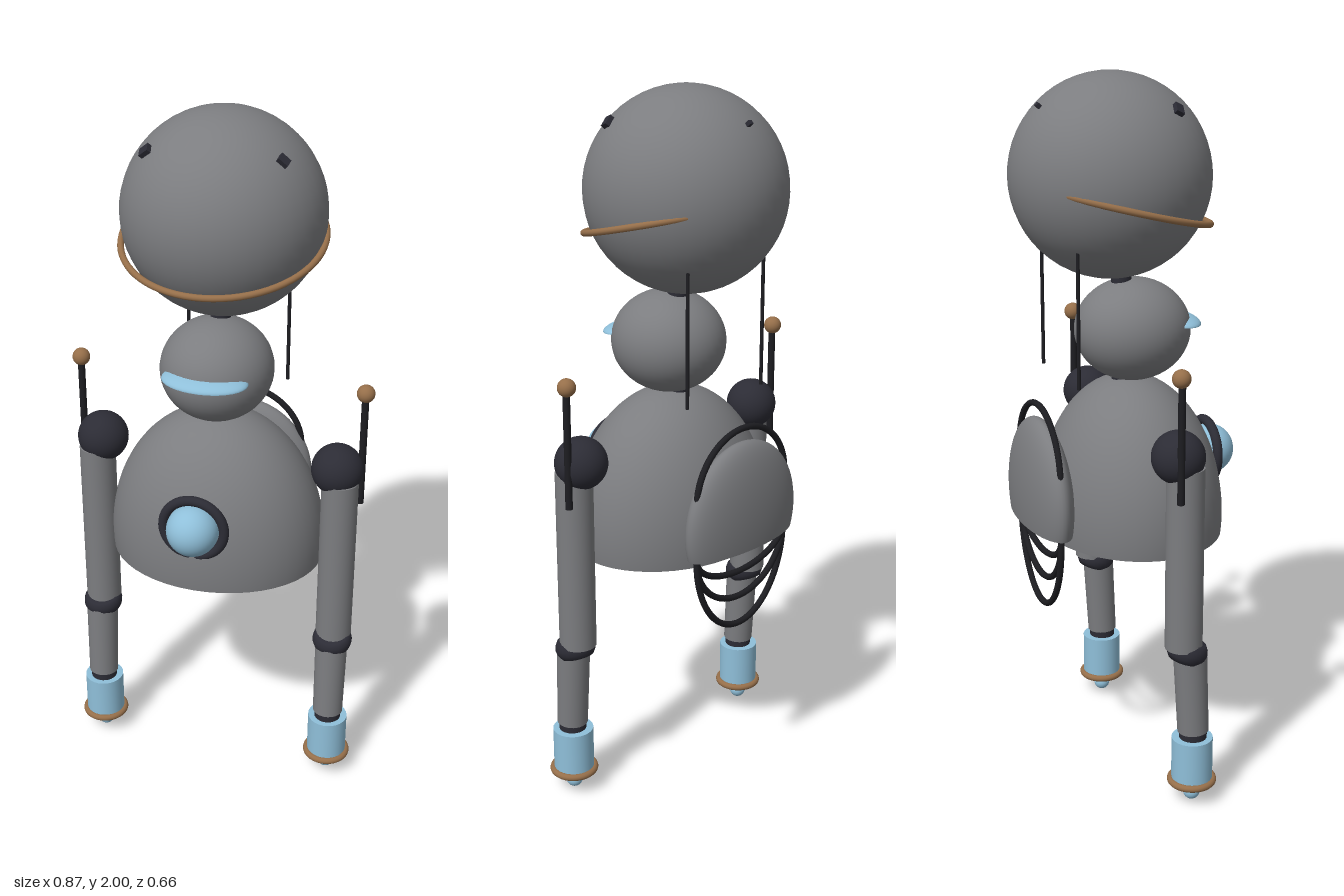
import * as THREE from 'three';

const mat = (name, color, side = THREE.FrontSide) => {
  const m = new THREE.MeshStandardMaterial({ color, side });
  m.name = name;
  return m;
};

export function createModel() {
  const root = new THREE.Group();
  root.name = 'robot';
  const grey = mat('grey shell', 0x7c7d80);
  const dark = mat('dark joint', 0x2c2c35);
  const black = mat('black cable', 0x1d1d21);
  const blue = mat('light blue', 0x8fbfd9);
  const copper = mat('copper', 0x966f4a);

  const add = (name, geo, material, [x, y, z], parent = root) => {
    const mesh = new THREE.Mesh(geo, material);
    mesh.name = name;
    mesh.position.set(x, y, z);
    parent.add(mesh);
    return mesh;
  };
  const ball = (rx, ry = rx, rz = rx) => new THREE.SphereGeometry(1, 40, 28).scale(rx, ry, rz);
  const rod = (name, r, a, b, material, parent = root, rTop = r) => {
    const p = new THREE.Vector3(...a), q = new THREE.Vector3(...b);
    const mesh = add(name, new THREE.CylinderGeometry(rTop, r, p.distanceTo(q), 28), material,
      p.clone().add(q).multiplyScalar(0.5).toArray(), parent);
    mesh.quaternion.setFromUnitVectors(new THREE.Vector3(0, 1, 0), q.sub(p).normalize());
    return mesh;
  };

  // Ellipsoid cut flat at height "cut" below its centre, with a closed base
  const dome = (name, [rx, ry, rz], cut, pos) => {
    const g = new THREE.Group();
    g.name = name;
    g.position.set(...pos);
    root.add(g);
    const theta = Math.acos(-cut / ry);
    add(name + 'Shell', new THREE.SphereGeometry(1, 48, 28, 0, Math.PI * 2, 0, theta).scale(rx, ry, rz), grey, [0, 0, 0], g);
    const s = Math.sin(theta);
    add(name + 'Base', new THREE.CircleGeometry(1, 48).rotateX(Math.PI / 2).scale(rx * s, 1, rz * s), grey, [0, -cut, 0], g);
  };

  // Half-ellipse cable in the xy plane; negative ry hangs down
  const cable = (name, rx, ry, pos) => {
    const pts = Array.from({ length: 17 }, (_, i) => {
      const a = Math.PI * i / 16;
      return new THREE.Vector3(rx * Math.cos(a), ry * Math.sin(a), 0);
    });
    add(name, new THREE.TubeGeometry(new THREE.CatmullRomCurve3(pts), 48, 0.009, 10), black, pos);
  };

  // Head with tilted band and small studs
  const headPos = [0, 1.724, -0.047];
  add('head', ball(0.276), grey, headPos);
  add('headBand', new THREE.TorusGeometry(0.274, 0.009, 12, 72).rotateX(Math.PI / 2 + 0.245), copper, [0, 1.656, -0.042]);
  [[-0.175, 0.187, 0.125, 0.032], [0.185, 0.187, 0.105, 0.03], [-0.015, 0.19, -0.203, 0.014]].forEach(([x, y, z, s], i) => {
    const n = new THREE.Vector3(x, y, z).normalize();
    const p = n.clone().multiplyScalar(0.276).add(new THREE.Vector3(...headPos));
    const stud = add('headStud' + (i + 1), new THREE.BoxGeometry(s, 0.024, s * 0.8), dark, p.toArray());
    stud.quaternion.setFromUnitVectors(new THREE.Vector3(0, 1, 0), n);
  });

  // Neck ball, core and visor
  add('neckBall', ball(0.157, 0.144, 0.164), grey, [0, 1.297, 0.018]);
  rod('neckCore', 0.028, [0, 1.12, -0.015], [0, 1.48, -0.015], dark);
  const visor = new THREE.Group();
  visor.name = 'visor';
  visor.position.set(0, 1.312, 0.137);
  visor.rotation.x = 0.06;
  root.add(visor);
  add('visorTop', new THREE.SphereGeometry(1, 36, 12, 0, Math.PI * 2, 0, Math.PI / 2).scale(0.12, 0.025, 0.073), blue, [0, 0, 0], visor);
  add('visorBottom', new THREE.CircleGeometry(1, 36).rotateX(Math.PI / 2).scale(0.12, 1, 0.073), blue, [0, 0, 0], visor);

  // Torso, chest lamp and backpack
  dome('torso', [0.31, 0.395, 0.255], 0.05, [0, 0.77, 0.01]);
  add('chestLamp', ball(0.073), blue, [0, 0.915, 0.257]);
  add('chestRing', new THREE.TorusGeometry(0.087, 0.014, 14, 48), dark, [0, 0.915, 0.248]);
  dome('backpack', [0.213, 0.225, 0.066], 0.07, [0, 0.84, -0.26]);
  cable('backpackHandle', 0.18, 0.175, [0, 0.93, -0.262]);
  [0.25, 0.165, 0.088].forEach((d, i) => cable('hangingCable' + (i + 1), 0.18, -d, [0, 0.77, -0.262]));

  // Arms, mirrored
  for (const s of [-1, 1]) {
    const arm = new THREE.Group();
    arm.name = s > 0 ? 'leftArm' : 'rightArm';
    root.add(arm);
    const x = s * 0.358;
    rod('neckRod', 0.005, [s * 0.148, 1.18, -0.195], [s * 0.148, 1.56, -0.195], black);
    add('shoulder', ball(0.073), dark, [s * 0.345, 1.027, 0.01], arm);
    rod('antennaRod', 0.01, [s * 0.41, 0.918, -0.01], [s * 0.41, 1.25, -0.01], black, arm);
    add('antennaTip', ball(0.025), copper, [s * 0.41, 1.26, -0.012], arm);
    rod('upperArm', 0.052, [x, 0.48, 0.026], [x, 1.0, 0.026], grey, arm);
    const elbow = add('elbow', new THREE.LatheGeometry(
      [[0, -0.028], [0.046, -0.028], [0.055, -0.014], [0.058, 0], [0.055, 0.014], [0.046, 0.028], [0, 0.028]]
        .map(p => new THREE.Vector2(...p)), 32), dark, [x, 0.468, 0.037], arm);
    elbow.rotation.x = -0.3;
    elbow.rotation.x *= -1;
    rod('forearm', 0.044, [x, 0.22, 0.058], [x, 0.455, 0.046], grey, arm, 0.047);
    rod('wrist', 0.039, [x, 0.19, 0.058], [x, 0.225, 0.058], dark, arm);
    rod('cuff', 0.058, [x, 0.06, 0.056], [x, 0.198, 0.056], blue, arm);
    add('cuffRing', new THREE.TorusGeometry(0.06, 0.01, 12, 48).rotateX(Math.PI / 2), copper, [x, 0.065, 0.056], arm);
    add('fingertip', ball(0.024), blue, [x, 0.026, 0.056], arm);
  }
  return root;
}
